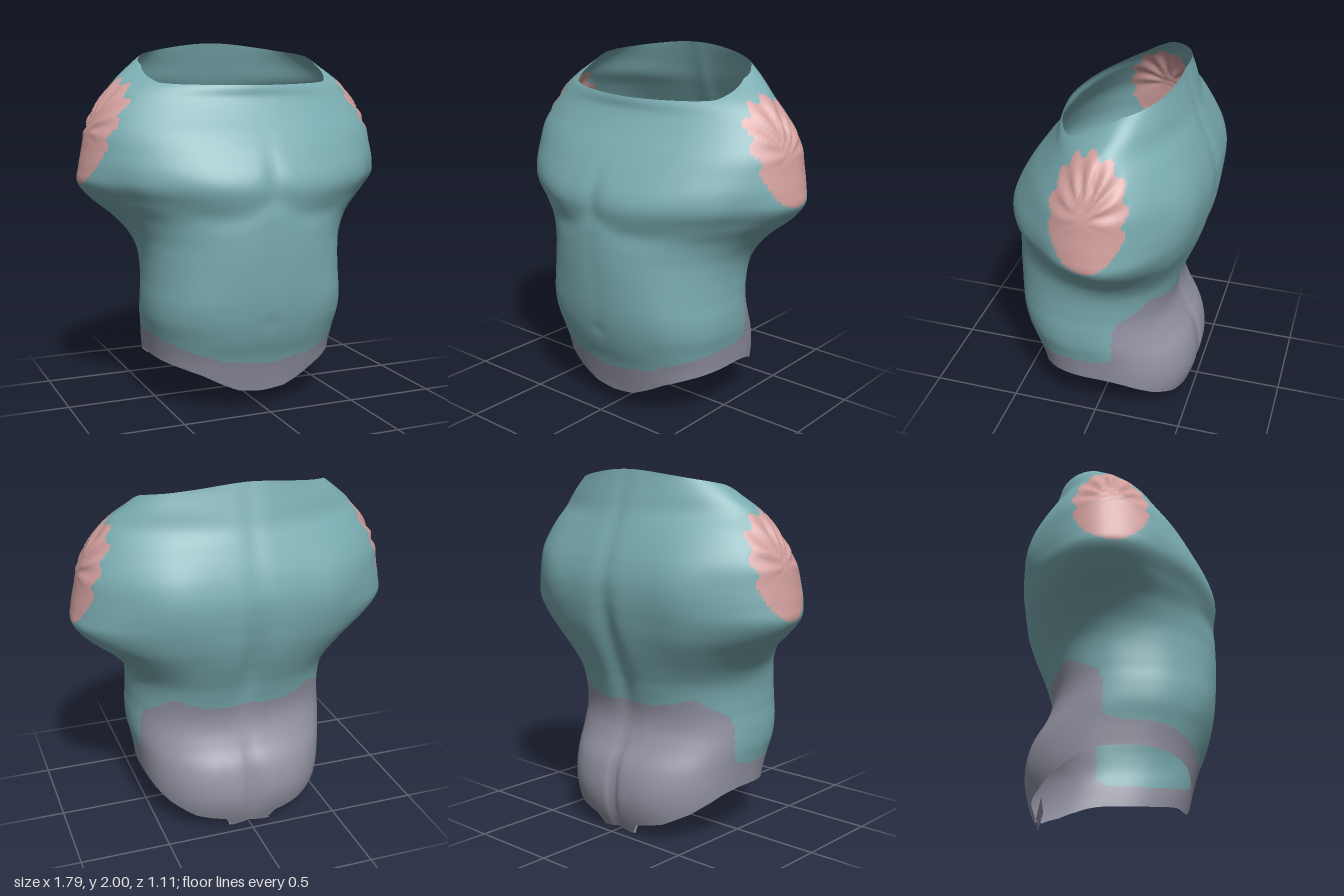
import * as THREE from 'three';

// Horizontal sections: y, half width, front z, back z, z of the widest point, squareness
const SECTIONS = [
  [0.00, 0.49, 0.370, -0.440, 0.00, 2.4],
  [0.10, 0.51, 0.385, -0.480, 0.00, 2.45],
  [0.20, 0.53, 0.410, -0.500, 0.00, 2.45],
  [0.30, 0.54, 0.440, -0.495, 0.00, 2.45],
  [0.40, 0.553, 0.480, -0.470, 0.02, 2.4],
  [0.50, 0.572, 0.510, -0.415, 0.05, 2.35],
  [0.60, 0.575, 0.530, -0.378, 0.06, 2.3],
  [0.70, 0.570, 0.542, -0.378, 0.05, 2.25],
  [0.85, 0.578, 0.553, -0.420, 0.02, 2.15],
  [0.95, 0.615, 0.556, -0.460, -0.04, 2.05],
  [1.05, 0.700, 0.556, -0.500, -0.09, 1.9],
  [1.15, 0.820, 0.554, -0.530, -0.11, 1.85],
  [1.24, 0.893, 0.552, -0.546, -0.10, 1.88],
  [1.32, 0.890, 0.530, -0.555, -0.09, 1.93],
  [1.42, 0.873, 0.480, -0.555, -0.09, 1.95],
  [1.52, 0.855, 0.412, -0.533, -0.09, 2.0],
  [1.60, 0.818, 0.350, -0.505, -0.09, 2.0],
  [1.70, 0.755, 0.285, -0.463, -0.09, 1.93],
  [1.78, 0.692, 0.262, -0.430, -0.10, 1.75],
  [1.87, 0.585, 0.110, -0.400, -0.14, 1.85],
  [1.94, 0.488, 0.000, -0.378, -0.17, 1.95],
  [2.00, 0.350, -0.100, -0.360, -0.27, 2.0],
];
// Neck rim height by cos(angle); leg rim heights and hip colour line by |sin(angle)|
const NECK = [[-1, 2], [-0.8, 1.98], [-0.5, 1.955], [0, 1.925], [0.35, 1.88], [0.52, 1.825], [0.66, 1.785], [0.78, 1.777], [1, 1.77]];
const LEG_FRONT = [[0, 0.09], [0.2, 0.105], [0.38, 0.15], [0.58, 0.205], [0.78, 0.24], [1, 0.27]];
const LEG_BACK = [[0, 0.02], [0.18, 0], [0.21, 0.065], [0.55, 0.1], [0.8, 0.165], [0.92, 0.22], [1, 0.27]];
const HIP_FRONT = [[0, 0.26], [0.4, 0.29], [0.8, 0.36], [1, 0.4]];
const HIP_BACK = [[0, 0.74], [0.35, 0.74], [0.7, 0.79], [0.93, 0.68], [0.97, 0.45], [1, 0.4]];

function lookup(table, v) {
  let i = 0;
  while (i < table.length - 2 && v > table[i + 1][0]) i++;
  const [a, b] = [table[i], table[i + 1]];
  return THREE.MathUtils.lerp(a[1], b[1], THREE.MathUtils.clamp((v - a[0]) / (b[0] - a[0]), 0, 1));
}

// Smooth interpolation between sections
function sectionAt(y) {
  const S = SECTIONS, last = S.length - 1;
  let i = 0;
  while (i < last - 1 && y > S[i + 1][0]) i++;
  const h = S[i + 1][0] - S[i][0], t = (y - S[i][0]) / h;
  const slope = (k, c) => {
    const a = S[Math.max(k - 1, 0)], b = S[Math.min(k + 1, last)];
    return (b[c] - a[c]) / (b[0] - a[0]);
  };
  return [1, 2, 3, 4, 5].map((c) =>
    S[i][c] * (1 + 2 * t) * (1 - t) ** 2 + S[i + 1][c] * t * t * (3 - 2 * t)
    + h * (slope(i, c) * t * (1 - t) ** 2 + slope(i + 1, c) * t * t * (t - 1)));
}

const bump = (d, r) => Math.exp(-((d / r) ** 2));

// Polar position of a point on the shoulder, seen from the side
function shoulderPolar(y, z) {
  const dy = (y - 1.525) / 0.287, dz = (z + 0.065) / 0.21;
  return [Math.hypot(dy, dz), Math.atan2(dz, dy), dy];
}

function surfacePoint(angle, y) {
  const s = Math.sin(angle), c = Math.cos(angle);
  const [w, zf, zb, zc, n] = sectionAt(y);
  let x = w * Math.sign(s) * Math.abs(s) ** (2 / n);
  let z = zc + (c > 0 ? zf - zc : zc - zb) * Math.sign(c) * Math.abs(c) ** (2 / n);
  const ax = Math.abs(x);
  if (c > 0) {
    // Chest muscles, the crease below them, breastbone line, flanks and navel
    const crease = 1.11 + 0.09 * bump(ax, 0.1) + 0.5 * Math.max(0, ax - 0.32) ** 1.5;
    z += c * (0.016 * bump(ax - 0.28, 0.24) * bump(y - crease - 0.13, 0.11)
      - 0.011 * bump(ax - 0.3, 0.26) * bump(y - crease + 0.02, 0.055)
      - 0.012 * bump(ax, 0.045) * bump(y - 1.28, 0.17)
      - 0.005 * bump(ax, 0.05) * bump(y - 0.85, 0.2)
      - 0.006 * bump(ax, 0.04) * bump(y - 0.5, 0.04)
      + 0.012 * bump(ax - 0.42, 0.12) * bump(y - 0.62, 0.16));
  } else {
    // Spine groove, shoulder blades, back muscles and the cleft of the seat
    z -= c * (0.04 * bump(ax, 0.07) * bump(y - 1.02, 0.3)
      + 0.01 * bump(ax, 0.05) * bump(y - 1.6, 0.4)
      + 0.03 * bump(ax, 0.025) * bump(y - 0.27, 0.22)
      - 0.035 * bump(ax - 0.48, 0.18) * bump(y - 1.42, 0.22)
      - 0.02 * bump(ax - 0.5, 0.15) * bump(y - 1.06, 0.13)
      - 0.012 * bump(ax - 0.24, 0.18) * bump(y - 0.27, 0.2));
  }
  // Hollow at the front of the armpit
  x -= s * 0.03 * bump(z - 0.22, 0.11) * bump(y - 1.22, 0.13);
  // Pleated shoulder ends
  const [r, phi, dy] = shoulderPolar(y, z);
  if (ax > 0.55 && r < 1) {
    const upper = THREE.MathUtils.smoothstep(dy, -0.3, 0.3);
    x += Math.sign(x) * (1 - r) * (0.05 * r * Math.cos(11 * phi) * upper - 0.012);
  }
  return [x, y, z];
}

// Small folded strip of the seat between the legs
function crotchFoldGeometry() {
  const geometry = new THREE.PlaneGeometry(2, 1, 2, 1);
  const p = geometry.getAttribute('position');
  for (let i = 0; i < p.count; i++) {
    const side = p.getX(i), top = p.getY(i) > 0;
    if (top) p.setXYZ(i, side * 0.15, 0.115, -0.41);
    else p.setXYZ(i, side * 0.12, side === 0 ? 0.02 : 0.004, -0.435);
  }
  geometry.computeVertexNormals();
  return geometry;
}

export function createModel() {
  const COLS = 160, ROWS = 120;
  const positions = [], hipLine = [];
  for (let j = 0; j <= ROWS; j++) {
    for (let i = 0; i < COLS; i++) {
      const angle = (i / COLS) * Math.PI * 2;
      const s = Math.abs(Math.sin(angle)), c = Math.cos(angle);
      const low = lookup(c > 0 ? LEG_FRONT : LEG_BACK, s);
      const y = THREE.MathUtils.lerp(low, lookup(NECK, c), j / ROWS);
      positions.push(...surfacePoint(angle, y));
      if (j === 0) hipLine.push(lookup(c > 0 ? HIP_FRONT : HIP_BACK, s));
    }
  }

  // Sort the faces into cloth, hips and shoulder ends
  const faces = { torso: [], hips: [], shoulderEnds: [] };
  const addFace = (i, a, b, c) => {
    const mid = (k) => (positions[a * 3 + k] + positions[b * 3 + k] + positions[c * 3 + k]) / 3;
    const [x, y, z] = [mid(0), mid(1), mid(2)];
    const [r, phi, dy] = shoulderPolar(y, z);
    const edge = dy > -0.2 ? 0.94 + 0.06 * Math.cos(13 * phi) : 0.99;
    const part = y < hipLine[i] ? 'hips' : Math.abs(x) > 0.55 && r < edge ? 'shoulderEnds' : 'torso';
    faces[part].push(a, b, c);
  };
  for (let j = 0; j < ROWS; j++) {
    for (let i = 0; i < COLS; i++) {
      const k = (i + 1) % COLS;
      const a = j * COLS + i, b = j * COLS + k, c = b + COLS, d = a + COLS;
      addFace(i, a, b, c);
      addFace(i, a, c, d);
    }
  }

  // Shared smooth normals across all parts
  const whole = new THREE.BufferGeometry();
  whole.setAttribute('position', new THREE.Float32BufferAttribute(positions, 3));
  whole.setIndex([...faces.torso, ...faces.hips, ...faces.shoulderEnds]);
  whole.computeVertexNormals();

  const colours = { torso: ['teal', 0x79abb0], hips: ['grey', 0x9292a2], shoulderEnds: ['pink', 0xd09e9c] };
  const group = new THREE.Group();
  group.name = 'torsoShell';
  const addMesh = (name, geometry, material) => {
    const mesh = new THREE.Mesh(geometry, material);
    mesh.name = name;
    group.add(mesh);
  };
  for (const [part, [name, color]] of Object.entries(colours)) {
    const geometry = new THREE.BufferGeometry();
    geometry.setAttribute('position', whole.getAttribute('position'));
    geometry.setAttribute('normal', whole.getAttribute('normal'));
    geometry.setIndex(faces[part]);
    const material = new THREE.MeshStandardMaterial({ color, side: THREE.DoubleSide });
    material.name = name;
    addMesh(part, geometry, material);
    if (part === 'hips') addMesh('crotchFold', crotchFoldGeometry(), material);
  }
  return group;
}
